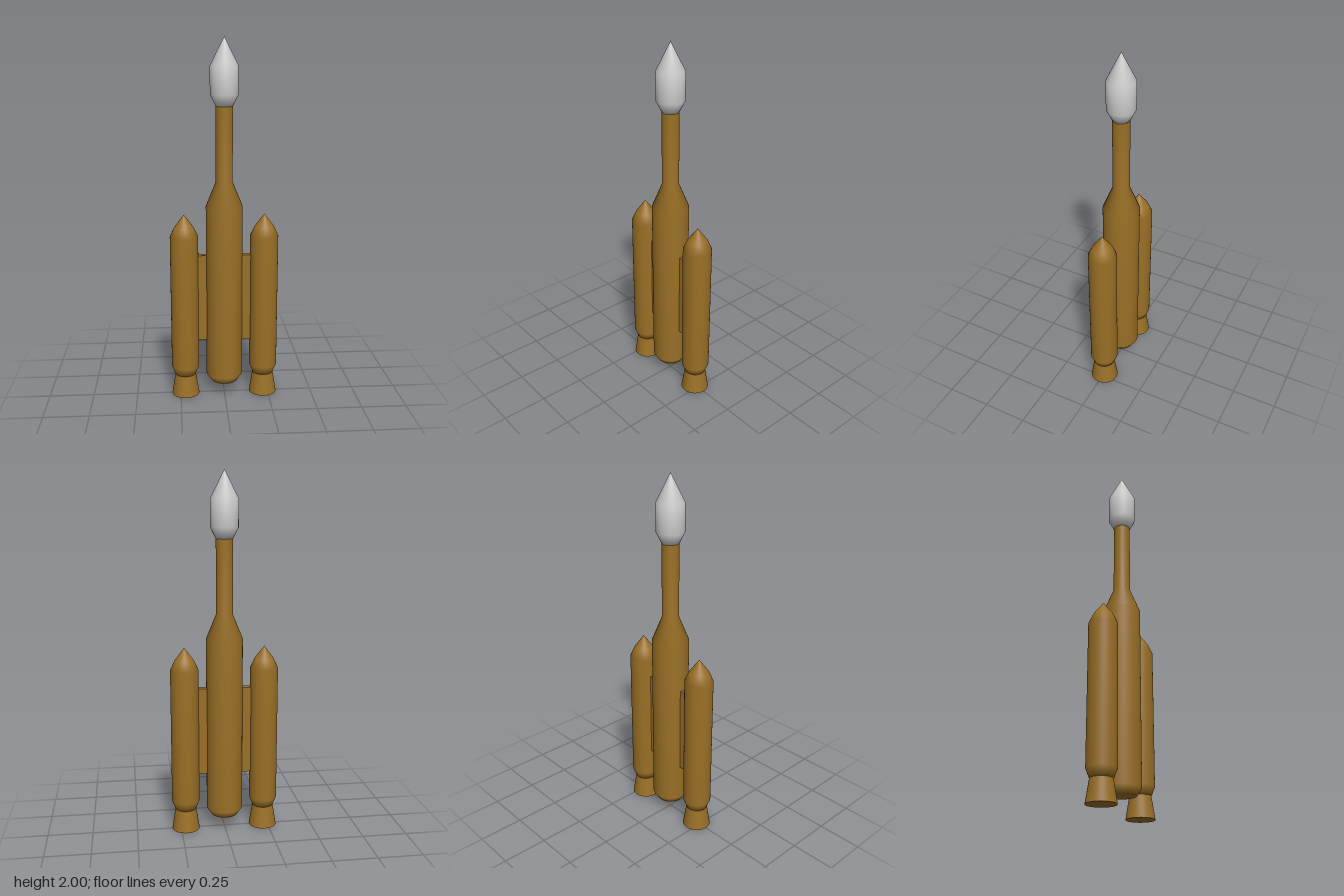
import * as THREE from 'three';

const brown = new THREE.MeshStandardMaterial({ color: 0x996f26 });
const grey = new THREE.MeshStandardMaterial({ color: 0xcccccc });

// Smooth surface of revolution from [radius, height] pairs, bottom to top
function turned(name, profile, material) {
  const points = profile.map(([r, y]) => new THREE.Vector2(r, y));
  const mesh = new THREE.Mesh(new THREE.LatheGeometry(points, 48), material);
  mesh.name = name;
  return mesh;
}

// Side booster with its flared nozzle
function createBooster(name) {
  const booster = new THREE.Group();
  booster.name = name;
  booster.add(turned('boosterBody', [
    [0, 0.12], [0.058, 0.12], [0.078, 0.17], [0.078, 0.93], [0.054, 0.983], [0, 1.055],
  ], brown));
  const nozzle = new THREE.Mesh(new THREE.CylinderGeometry(0.058, 0.078, 0.125, 48), brown);
  nozzle.name = 'boosterNozzle';
  nozzle.position.y = 0.0625;
  booster.add(nozzle);
  return booster;
}

export function createModel() {
  const rocket = new THREE.Group();
  rocket.name = 'rocket';

  // Core stage tapering into the slim upper stage
  rocket.add(turned('coreStage', [
    [0, 0.08], [0.075, 0.08], [0.101, 0.12], [0.101, 1.1], [0.046, 1.235], [0.046, 1.65],
  ], brown));

  // Payload fairing
  rocket.add(turned('payloadFairing', [
    [0, 1.64], [0.046, 1.64], [0.076, 1.7], [0.076, 1.85], [0, 2],
  ], grey));

  // Boosters and the struts that hold them
  for (const [side, s] of [['left', 1], ['right', -1]]) {
    const booster = createBooster(side + 'Booster');
    booster.position.x = s * 0.222;
    rocket.add(booster);

    const strut = new THREE.Mesh(new THREE.BoxGeometry(0.1, 0.495, 0.038), brown);
    strut.name = side + 'Strut';
    strut.position.set(s * 0.122, 0.5775, 0);
    rocket.add(strut);
  }
  return rocket;
}
